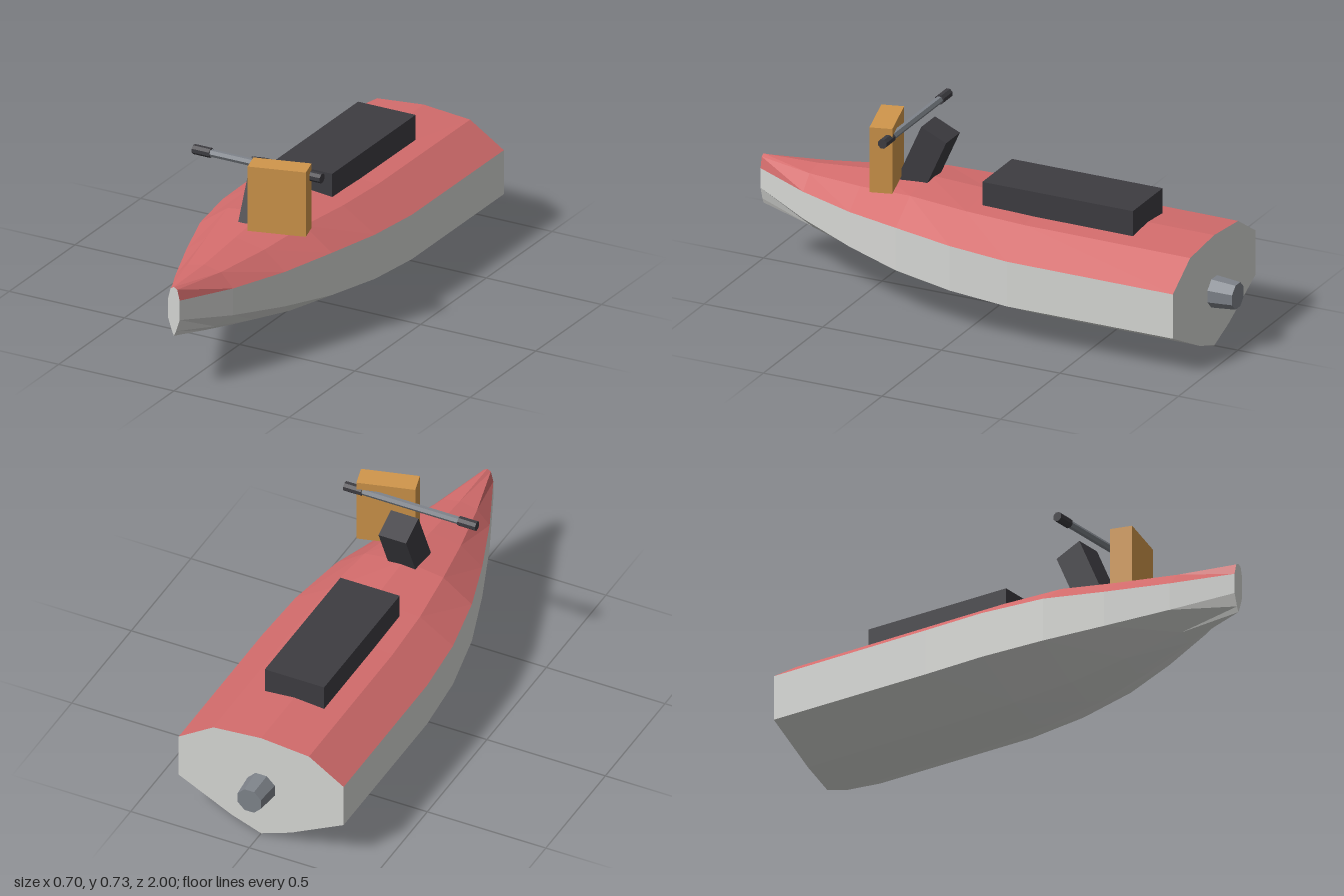
import * as THREE from 'three';

const mat = (name, color, flat = true) => {
  const m = new THREE.MeshStandardMaterial({ color, flatShading: flat });
  m.name = name;
  return m;
};

// Stations along the hull: z, half width, keel y, chine y, gunwale y, shoulder y, deck centre y
const STATIONS = [
  [-0.9, 0.348, 0.003, 0.162, 0.343, 0.437, 0.455],
  [-0.2, 0.348, 0.008, 0.162, 0.345, 0.44, 0.457],
  [0.05, 0.332, 0.02, 0.174, 0.356, 0.446, 0.465],
  [0.3, 0.286, 0.045, 0.192, 0.366, 0.452, 0.475],
  [0.53, 0.214, 0.1, 0.218, 0.36, 0.432, 0.457],
  [0.77, 0.125, 0.165, 0.254, 0.364, 0.42, 0.436],
  [1.0, 0.025, 0.23, 0.3, 0.38, 0.423, 0.431],
];

// Ten-point ring, anticlockwise seen from the front, starting at the keel
function ring([z, w, keel, chine, gunwale, shoulder, top]) {
  const side = [
    [w * 0.36, keel + (chine - keel) * 0.29],
    [w, chine], [w, gunwale], [w * 0.58, shoulder],
  ];
  const mirrored = side.map(([x, y]) => [-x, y]).reverse();
  return [[0, keel], ...side, [0, top], ...mirrored].map(([x, y]) => [x, y, z]);
}

// Skin between stations for the chosen ring segments, with optional end caps
function loft(segments, capped) {
  const rings = STATIONS.map(ring);
  const pos = [];
  const tri = (a, b, c) => pos.push(...a, ...b, ...c);
  for (let i = 0; i < rings.length - 1; i++) {
    for (const j of segments) {
      const k = (j + 1) % 10;
      const a = rings[i][j], b = rings[i][k], c = rings[i + 1][k], d = rings[i + 1][j];
      tri(a, b, c);
      tri(a, c, d);
    }
  }
  if (capped) {
    const stern = rings[0], bow = rings[rings.length - 1];
    for (let j = 1; j < 9; j++) {
      tri(bow[0], bow[j], bow[j + 1]);
      tri(stern[0], stern[j + 1], stern[j]);
    }
  }
  const g = new THREE.BufferGeometry();
  g.setAttribute('position', new THREE.Float32BufferAttribute(pos, 3));
  g.computeVertexNormals();
  return g;
}

export function createModel() {
  const model = new THREE.Group();
  model.name = 'personalWatercraft';

  const hullGrey = mat('hull light grey', 0xd6d7d4);
  const deckRed = mat('deck red', 0xd36c6c);
  const black = mat('soft black', 0x3d3c41);
  const metal = mat('metal grey', 0x7e838a);
  const orange = mat('orange', 0xd0964b);

  const add = (name, geometry, material, x = 0, y = 0, z = 0) => {
    const m = new THREE.Mesh(geometry, material);
    m.name = name;
    m.position.set(x, y, z);
    model.add(m);
    return m;
  };

  // Hull and deck
  add('hull', loft([0, 1, 2, 7, 8, 9], true), hullGrey);
  add('deck', loft([3, 4, 5, 6], false), deckRed);

  // Seat
  add('seat', new THREE.BoxGeometry(0.25, 0.117, 0.635), black, 0, 0.4885, -0.3025);

  // Steering column leaning back
  const column = add('steeringColumn', new THREE.BoxGeometry(0.116, 0.253, 0.115), black, 0, 0.5525, 0.305);
  column.rotation.x = -0.42;

  // Handlebar with a grip at each end
  const barGeo = new THREE.CylinderGeometry(0.015, 0.015, 0.42, 6).rotateZ(Math.PI / 2);
  add('handlebar', barGeo, metal, 0, 0.694, 0.36);
  for (const s of [1, -1]) {
    const gripGeo = new THREE.CylinderGeometry(0.0195, 0.0195, 0.075, 8).rotateY(Math.PI / 8).rotateZ(Math.PI / 2);
    add(s > 0 ? 'leftGrip' : 'rightGrip', gripGeo, black, s * 0.2405, 0.694, 0.36);
  }

  // Box hung on the left of the handlebar
  const pack = add('frontBox', new THREE.BoxGeometry(0.227, 0.265, 0.088), orange, 0.126, 0.6055, 0.417);
  pack.rotation.y = 0.265;

  // Jet nozzle at the stern
  const nozzleGeo = new THREE.CylinderGeometry(0.064, 0.053, 0.12, 8)
    .rotateY(Math.PI / 8).rotateX(Math.PI / 2);
  add('jetNozzle', nozzleGeo, metal, 0, 0.225, -0.94);

  return model;
}
